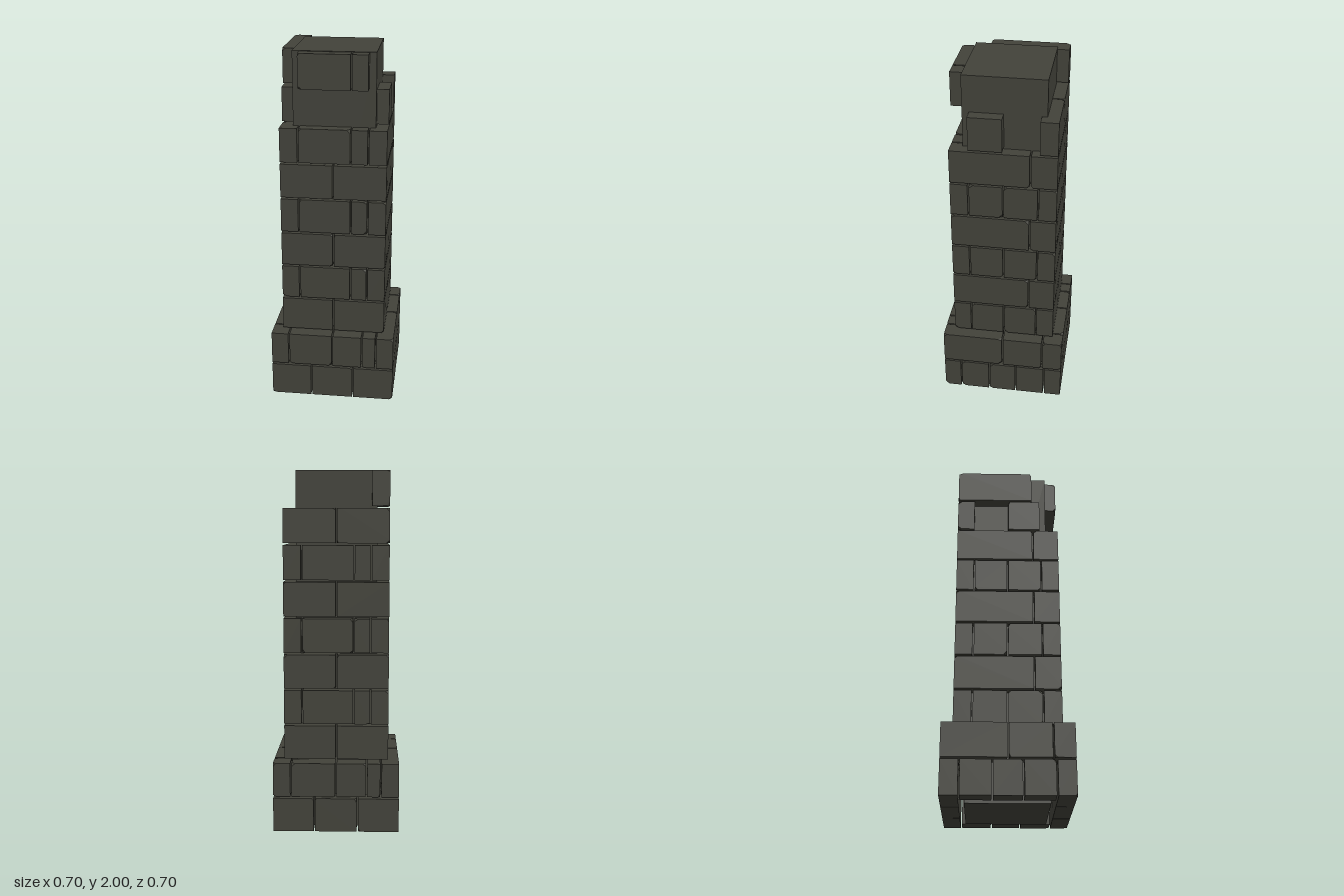
import * as THREE from 'three';
import { ConvexGeometry } from 'three/addons/geometries/ConvexGeometry.js';

const COURSE = 0.2, DEPTH = 0.1, GAP = 0.004;

// Joint positions along the front/back and along the sides of each ring.
const BASE_A = { half: 0.35, faces: [-0.354, -0.12, 0.12, 0.354], sides: [-0.25, -0.08, 0.08, 0.25] };
const BASE_B = { half: 0.35, faces: [-0.25, 0, 0.17, 0.25], sides: [-0.354, 0, 0.235, 0.354] };
const SHAFT_A = { half: 0.29, faces: [-0.294, 0, 0.294], sides: [-0.19, 0, 0.19] };
const SHAFT_B = { half: 0.29, faces: [-0.19, 0.097, 0.19], sides: [-0.294, 0.145, 0.294] };
const COURSES = [BASE_A, BASE_B, SHAFT_A, SHAFT_B, SHAFT_A, SHAFT_B, SHAFT_A, SHAFT_B, SHAFT_A, SHAFT_B];

// Bricks still standing in the ruined upper courses, per side.
const KEPT = {
  8: { front: [], right: [0], back: [0, 1], left: [1] },
  9: { front: [0, 1], right: [], back: [], left: [0] },
};
const SIDES = ['front', 'right', 'back', 'left'];

function seeded(seed) {
  return () => {
    seed = (seed * 16807) % 2147483647;
    return seed / 2147483647;
  };
}

// A block whose outer corners are sometimes chipped off.
function chippedBrick(x0, x1, y0, y1, z0, z1, rand) {
  const points = [];
  for (const [x, sx] of [[x0, 1], [x1, -1]]) {
    for (const [y, sy] of [[y0, 1], [y1, -1]]) {
      for (const [z, sz] of [[z0, 1], [z1, -1]]) {
        const chipped = z === z1 && rand() < 0.3;
        if (!chipped) {
          points.push(new THREE.Vector3(x, y, z));
          continue;
        }
        const size = () => 0.008 + 0.016 * rand();
        points.push(
          new THREE.Vector3(x + sx * size(), y, z),
          new THREE.Vector3(x, y + sy * size(), z),
          new THREE.Vector3(x, y, z + sz * size()),
        );
      }
    }
  }
  return new ConvexGeometry(points);
}

export function createModel() {
  const model = new THREE.Group();
  model.name = 'ruinedBrickPillar';
  const stone = new THREE.MeshStandardMaterial({ color: 0x42423a });
  stone.name = 'dark stone';
  const rand = seeded(4217);

  // Solid core
  const core = new THREE.Mesh(new THREE.BoxGeometry(0.448, 2, 0.448), stone);
  core.name = 'core';
  core.position.y = 1;
  model.add(core);

  // Rings of bricks, each side laid out facing front and turned into place
  COURSES.forEach((ring, level) => {
    const course = new THREE.Group();
    course.name = `course${level + 1}`;
    course.position.y = level * COURSE;
    SIDES.forEach((side, turn) => {
      const joints = turn % 2 ? ring.sides : ring.faces;
      for (let i = 0; i < joints.length - 1; i++) {
        if (KEPT[level] && !KEPT[level][side].includes(i)) continue;
        const geometry = chippedBrick(
          joints[i] + GAP, joints[i + 1] - GAP,
          0.008, COURSE - 0.003,
          ring.half - DEPTH + GAP, ring.half, rand,
        );
        const brick = new THREE.Mesh(geometry, stone);
        brick.name = `${side}Brick${i + 1}`;
        brick.rotation.y = turn * Math.PI / 2;
        course.add(brick);
      }
    });
    model.add(course);
  });

  return model;
}
